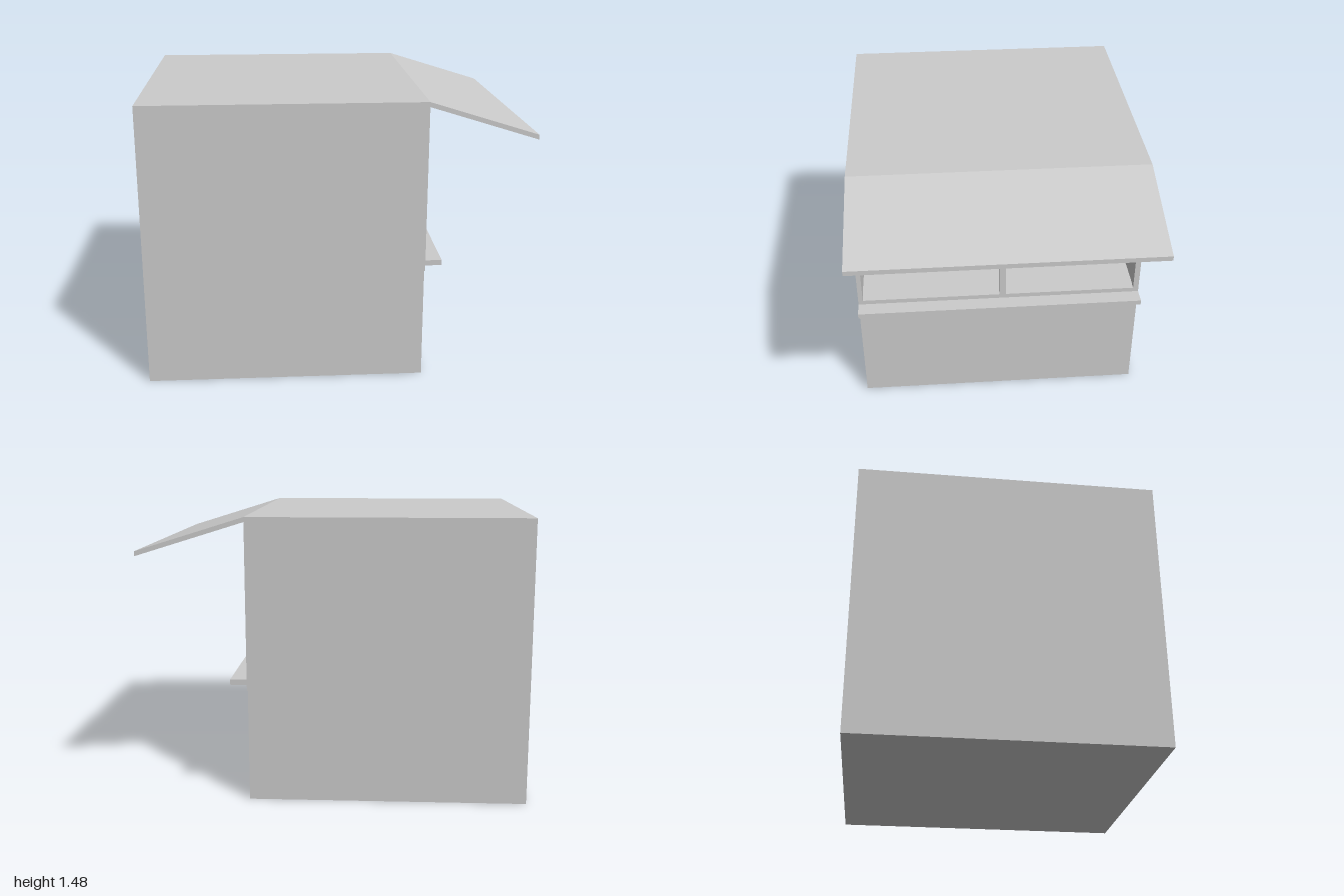
import * as THREE from 'three';

const material = new THREE.MeshStandardMaterial({ color: 0xcccccc, flatShading: true });
const HALF = 0.78; // half depth in z
const WALL = 0.02; // wall thickness

export function createModel() {
  const kiosk = new THREE.Group();
  kiosk.name = 'kiosk';

  const add = (name, geometry) => {
    const mesh = new THREE.Mesh(geometry, material);
    mesh.name = name;
    kiosk.add(mesh);
  };
  // box given by its limits on each axis
  const box = (name, [x0, x1], [y0, y1], [z0, z1]) => add(name,
    new THREE.BoxGeometry(x1 - x0, y1 - y0, z1 - z0)
      .translate((x0 + x1) / 2, (y0 + y1) / 2, (z0 + z1) / 2));
  // outline in x and y drawn out over the whole depth
  const slab = (name, points) => {
    const shape = new THREE.Shape(points.map(([x, y]) => new THREE.Vector2(x, y)));
    add(name, new THREE.ExtrudeGeometry(shape, { depth: 2 * HALF, bevelEnabled: false })
      .translate(0, 0, -HALF));
  };

  // hollow body
  const inner = [-HALF + WALL, HALF - WALL];
  box('floor', [-1 + WALL, 0.42], [0, WALL], inner);
  box('rearWall', [-1, -1 + WALL], [0, 1.45], inner);
  box('servingWall', [0.42, 0.44], [0, 0.585], inner);
  for (const [name, z] of [['leftSide', HALF - WALL], ['rightSide', -HALF]]) {
    box(name + 'Wall', [-1, 0.44], [0, 1.45], [z, z + WALL]);
  }

  // roof that continues into the sloping awning
  slab('roofAndAwning', [
    [-1, 1.45], [0.445, 1.45], [1, 1.277], [1, 1.302], [0.445, 1.475], [-1, 1.475],
  ]);

  // counter reaching inside and out, with a rail below it
  box('counterRail', [0.41, 0.445], [0.585, 0.617], [-HALF, HALF]);
  box('counterInside', [0.17, 0.44], [0.617, 0.645], inner);
  box('counterShelf', [0.44, 0.53], [0.617, 0.645], [-HALF, HALF]);

  // frame of the two serving windows
  box('windowSill', [0.41, 0.445], [0.645, 0.67], [-HALF, HALF]);
  for (const [name, z0, z1] of [
    ['leftPost', 0.755, HALF], ['middlePost', -0.035, 0], ['rightPost', -HALF, -0.75],
  ]) {
    box(name, [0.41, 0.445], [0.67, 1.45], [z0, z1]);
  }

  return kiosk;
}
